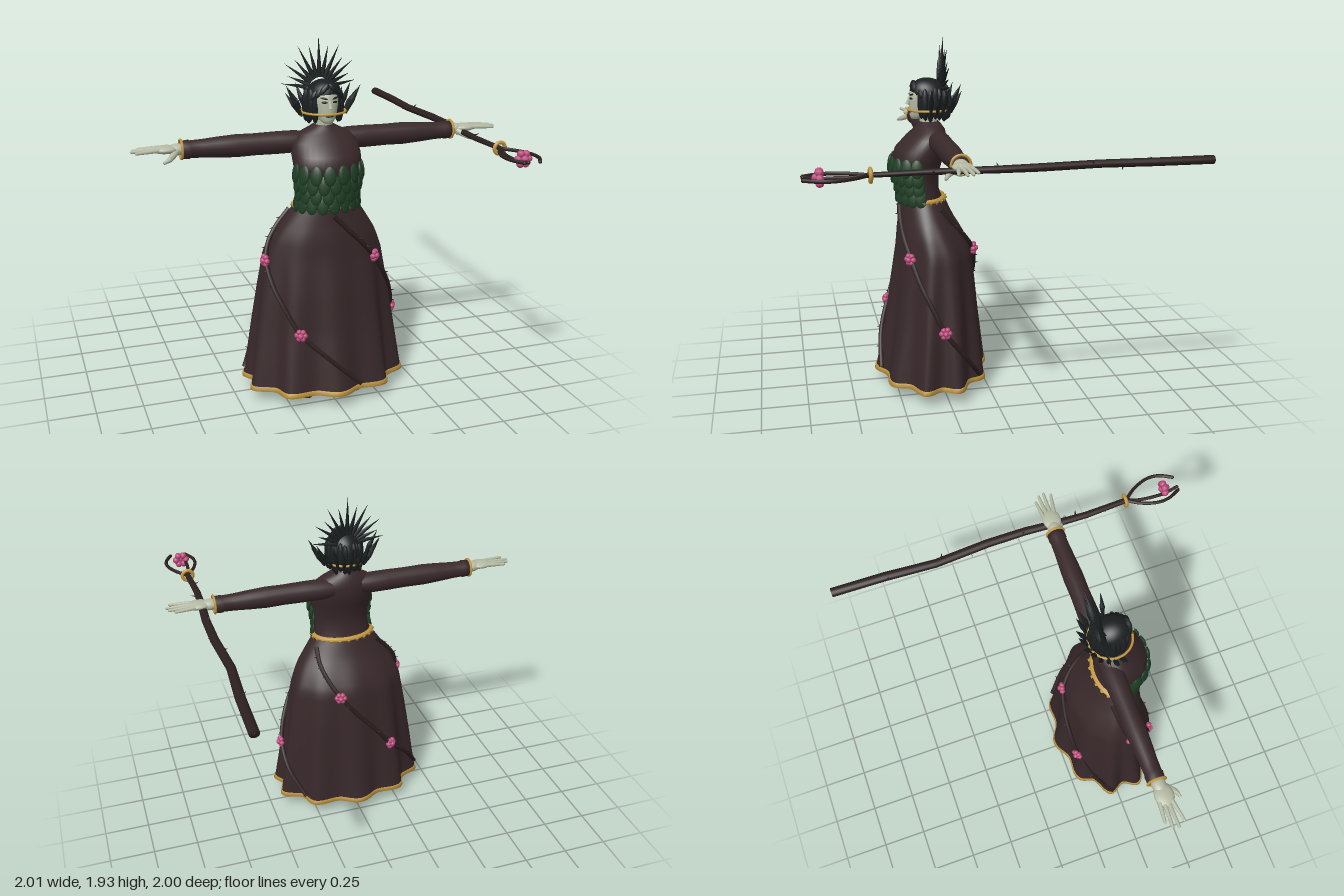
import * as THREE from 'three';

const mat = (name, color, side = THREE.FrontSide) => {
  const m = new THREE.MeshStandardMaterial({ color, side });
  m.name = name;
  return m;
};
const V = (x, y, z) => new THREE.Vector3(x, y, z);
const UP = V(0, 1, 0);

// Skirt rows: y, half width, half depth, centre z
const SKIRT = [
  [0.07, 0.425, 0.295, 0.29], [0.4, 0.385, 0.25, 0.277], [0.6, 0.357, 0.23, 0.273], [0.8, 0.325, 0.203, 0.27],
  [0.9, 0.285, 0.172, 0.293], [0.97, 0.24, 0.145, 0.308], [1.07, 0.172, 0.117, 0.323],
];
function skirtRow(y) {
  let i = 0;
  while (i < SKIRT.length - 2 && y > SKIRT[i + 1][0]) i++;
  const t = (y - SKIRT[i][0]) / (SKIRT[i + 1][0] - SKIRT[i][0]);
  return SKIRT[i].map((v, k) => v + (SKIRT[i + 1][k] - v) * t);
}
const foldDepth = y => 0.075 * Math.max(0, 1 - y);

export function createModel() {
  const root = new THREE.Group();
  const dress = mat('dressBrown', 0x38282a, THREE.DoubleSide);
  const bark = mat('barkBrown', 0x2c1f1f);
  const skin = mat('paleSkin', 0xb4baa4);
  const black = mat('hairBlack', 0x1b1f20);
  const green = mat('leafGreen', 0x1f3f25);
  const gold = mat('gold', 0xc0963f, THREE.DoubleSide);
  const pink = mat('rosePink', 0xbd4a7c);
  const shoe = mat('shoeBrown', 0x2b1c1c);

  const add = (name, geo, m, parent = root) => {
    const mesh = new THREE.Mesh(geo, m);
    mesh.name = name;
    parent.add(mesh);
    return mesh;
  };
  const group = (name) => {
    const g = new THREE.Group();
    g.name = name;
    root.add(g);
    return g;
  };
  // Skin over elliptical rows [y, rx, rz, cz, cx], with optional folds
  const loft = (rows, n = 24, lobes = 0) => {
    const pos = [], idx = [];
    rows.forEach(([y, rx, rz, cz = 0, cx = 0], i) => {
      for (let j = 0; j < n; j++) {
        const a = j / n * Math.PI * 2, f = 1 + (lobes ? foldDepth(y) * Math.cos(lobes * a) : 0);
        pos.push(cx + rx * f * Math.sin(a), y, cz + rz * f * Math.cos(a));
        if (i === rows.length - 1) continue;
        const p = i * n + j, q = i * n + (j + 1) % n;
        idx.push(p, q, q + n, p, q + n, p + n);
      }
    });
    const g = new THREE.BufferGeometry();
    g.setAttribute('position', new THREE.Float32BufferAttribute(pos, 3));
    g.setIndex(idx);
    g.computeVertexNormals();
    return g;
  };
  // Tapered rod or spike between two points
  const rod = (name, a, b, r1, r2, m, parent, n = 8) => {
    const d = b.clone().sub(a);
    const mesh = add(name, new THREE.CylinderGeometry(r2, r1, d.length(), n), m, parent);
    mesh.position.copy(a).addScaledVector(d, 0.5);
    mesh.quaternion.setFromUnitVectors(UP, d.normalize());
    return mesh;
  };
  const blob = (name, p, sx, sy, sz, m, parent, n = 16) => {
    const mesh = add(name, new THREE.SphereGeometry(1, n, Math.ceil(n * 0.7)), m, parent);
    mesh.position.copy(p);
    mesh.scale.set(sx, sy, sz);
    return mesh;
  };
  const rose = (p, dir, r, parent) => {
    const g = new THREE.Group();
    g.name = 'rose';
    g.position.copy(p);
    g.quaternion.setFromUnitVectors(V(0, 0, 1), dir.clone().normalize());
    blob('roseCentre', V(0, 0, r * 0.35), r * 0.45, r * 0.45, r * 0.45, pink, g, 10);
    for (let i = 0; i < 6; i++) {
      const a = i / 6 * Math.PI * 2;
      blob('petal', V(Math.cos(a) * r * 0.62, Math.sin(a) * r * 0.62, 0), r * 0.42, r * 0.42, r * 0.45, pink, g, 10);
    }
    parent.add(g);
  };

  // Skirt with folds, gold hem and belt
  const ys = Array.from({ length: 26 }, (_, i) => 0.07 + i * 0.04);
  add('skirt', loft(ys.map(skirtRow), 120, 10), dress);
  const hemRow = (y, k) => { const r = skirtRow(y); return [y, r[1] + k, r[2] + k, r[3]]; };
  add('hem', loft([hemRow(0.07, -0.006), hemRow(0.07, 0.006), hemRow(0.094, 0.006), hemRow(0.094, -0.002)], 120, 10), gold);
  add('belt', loft([[1.062, 0.178, 0.121, 0.324], [1.068, 0.184, 0.126, 0.324], [1.078, 0.182, 0.124, 0.326], [1.082, 0.165, 0.11, 0.328]], 48), gold);
  for (let i = 0; i < 22; i++) {
    const a = i / 22 * Math.PI * 2, p = V(Math.sin(a) * 0.182, 1.07, 0.324 + Math.cos(a) * 0.125);
    rod('beltPoint', p, p.clone().add(V(0, -0.02, 0)), 0.012, 0, gold, root, 5);
  }

  // Bodice
  const TORSO = [
    [1.04, 0.172, 0.115, 0.325], [1.12, 0.155, 0.106, 0.342], [1.2, 0.162, 0.115, 0.35], [1.28, 0.18, 0.138, 0.35],
    [1.34, 0.185, 0.14, 0.328], [1.4, 0.172, 0.11, 0.3], [1.44, 0.14, 0.084, 0.28], [1.468, 0.08, 0.065, 0.28], [1.485, 0.05, 0.05, 0.28],
  ];
  add('bodice', loft(TORSO, 36), dress);

  // Overlapping leaves over the front of the bodice
  const leaves = group('bodiceLeaves');
  [[1.092, 0.165, 0.112, 0.338], [1.145, 0.16, 0.112, 0.345], [1.2, 0.166, 0.12, 0.352], [1.255, 0.176, 0.137, 0.352]]
    .forEach(([y, rx, rz, cz], row) => {
      const n = row % 2 ? 8 : 9;
      for (let i = 0; i < n; i++) {
        const a = ((i + 0.5) / n - 0.5) * 3.2;
        const leaf = blob('leaf', V(Math.sin(a) * (rx + 0.008), y, cz + Math.cos(a) * (rz + 0.01)), 0.033, 0.052, 0.012, green, leaves, 10);
        leaf.rotation.set(-0.15, a, 0, 'YXZ');
      }
    });

  // Three thorny vines winding down the skirt
  const skirtPoint = (y, a, out) => {
    const [, rx, rz, cz] = skirtRow(y), f = 1 + foldDepth(y) * 0.7;
    return V(Math.sin(a) * (rx * f + out), y, cz + Math.cos(a) * (rz * f + out));
  };
  const path = [[1.03, 0], [0.95, 17], [0.87, 31], [0.78, 44], [0.66, 60], [0.54, 76], [0.41, 91], [0.27, 113], [0.12, 135]];
  for (let k = 0; k < 3; k++) {
    const vine = group('vine');
    const turn = k * Math.PI * 2 / 3;
    const at = (i, out) => skirtPoint(path[i][0], path[i][1] * Math.PI / 180 + turn, out);
    const curve = new THREE.CatmullRomCurve3(path.map((_, i) => at(i, 0.008)));
    add('vineStem', new THREE.TubeGeometry(curve, 60, 0.013, 8), bark, vine);
    for (const i of [3, 6]) {
      const p = at(i, 0.015);
      rose(p, V(p.x, 0, (p.z - 0.28) * 1.6), 0.035, vine);
    }
    for (let i = 1; i < 14; i++) {
      const p = curve.getPoint(i / 14), out = V(p.x, 0.03 * (i % 2 ? 1 : -1), p.z - 0.28).normalize();
      rod('thorn', p, p.clone().addScaledVector(out, 0.03), 0.006, 0, bark, vine, 5);
    }
  }

  // Arms, hands, legs and shoes
  for (const s of [-1, 1]) {
    const arm = group(s > 0 ? 'leftArm' : 'rightArm');
    const sleeve = add('sleeve', loft([
      [0.08, 0.05, 0.055], [0.15, 0.058, 0.062], [0.24, 0.059, 0.058], [0.36, 0.057, 0.054], [0.46, 0.059, 0.056],
      [0.55, 0.054, 0.052], [0.64, 0.047, 0.047], [0.7, 0.045, 0.046], [0.705, 0.049, 0.05], [0.74, 0.046, 0.048], [0.74, 0.02, 0.02],
    ], 20), dress, arm);
    sleeve.rotation.z = -s * Math.PI / 2;
    sleeve.position.set(0, 1.392, 0.25);
    const cuff = add('cuff', new THREE.TorusGeometry(0.048, 0.007, 8, 28), gold, arm);
    cuff.position.set(s * 0.745, 1.395, 0.25);
    cuff.rotation.y = Math.PI / 2;
    blob('wrist', V(s * 0.765, 1.397, 0.253), 0.055, 0.03, 0.038, skin, arm);
    blob('palm', V(s * 0.825, 1.402, 0.257), 0.065, 0.021, 0.051, skin, arm);
    [[0.21, 0.955, 0.222], [0.238, 0.985, 0.243], [0.268, 0.995, 0.263], [0.305, 0.975, 0.282]].forEach(([z, x, z0]) => {
      const a = V(s * 0.85, 1.405, z0), b = V(s * x, 1.402, z);
      rod('finger', a, b, 0.0125, 0.008, skin, arm);
      blob('fingertip', b, 0.008, 0.008, 0.008, skin, arm, 8);
    });
    rod('thumb', V(s * 0.775, 1.39, 0.275), V(s * 0.815, 1.365, 0.325), 0.019, 0.014, skin, arm);
    rod('thumbTip', V(s * 0.815, 1.365, 0.325), V(s * 0.85, 1.352, 0.342), 0.014, 0.007, skin, arm);

    const leg = group(s > 0 ? 'leftLeg' : 'rightLeg');
    rod('leg', V(s * 0.135, 0.04, 0.23), V(s * 0.1, 0.85, 0.28), 0.042, 0.085, shoe, leg, 14);
    const foot = add('shoe', loft([
      [0, 0.045, 0.13, 0.315], [0.008, 0.06, 0.146, 0.315], [0.03, 0.063, 0.145, 0.315],
      [0.055, 0.05, 0.105, 0.28], [0.08, 0.04, 0.06, 0.245], [0.11, 0.035, 0.045, 0.235], [0.11, 0.001, 0.001, 0.235],
    ], 24), shoe, leg);
    foot.position.x = s * 0.138;
    const sole = add('sole', new THREE.CircleGeometry(1, 24), shoe, leg);
    sole.scale.set(0.045, 0.13, 1);
    sole.rotation.x = Math.PI / 2;
    sole.position.set(s * 0.138, 0.0005, 0.315);
  }

  // Head and face
  const head = group('head');
  add('neck', loft([[1.45, 0.06, 0.055, 0.28], [1.49, 0.047, 0.046, 0.285], [1.56, 0.045, 0.046, 0.29]], 20), skin, head);
  add('face', loft([
    [1.496, 0.004, 0.004, 0.355], [1.5, 0.024, 0.026, 0.352], [1.52, 0.045, 0.06, 0.325], [1.55, 0.058, 0.08, 0.307],
    [1.6, 0.068, 0.088, 0.3], [1.65, 0.068, 0.086, 0.297], [1.69, 0.05, 0.06, 0.29], [1.705, 0.005, 0.005, 0.29],
  ], 28), skin, head);
  rod('nose', V(0, 1.62, 0.383), V(0, 1.577, 0.397), 0.006, 0.013, skin, head);
  blob('lips', V(0, 1.538, 0.381), 0.02, 0.007, 0.006, bark, head, 10);
  for (const s of [-1, 1]) {
    blob('eye', V(s * 0.028, 1.612, 0.38), 0.016, 0.006, 0.005, black, head, 10).rotation.y = s * 0.4;
    const brow = blob('brow', V(s * 0.03, 1.632, 0.378), 0.02, 0.005, 0.005, black, head, 10);
    brow.rotation.set(0, s * 0.4, s * 0.25);
  }

  // Hair cap and hanging locks
  const hair = group('hair');
  const cap = add('hairCap', new THREE.SphereGeometry(1, 28, 14, 0, Math.PI * 2, 0, Math.PI * 0.55), black, hair);
  cap.scale.set(0.09, 0.085, 0.108);
  cap.position.set(0, 1.63, 0.277);
  cap.rotation.x = -0.32;
  blob('hairBack', V(0, 1.6, 0.25), 0.084, 0.09, 0.075, black, hair);
  for (let i = 0; i < 17; i++) {
    const a = 0.85 + i / 16 * (Math.PI * 2 - 1.7), r = i % 2 ? 0.088 : 0.08;
    const lock = blob('lock', V(Math.sin(a) * r, 1.59 - 0.008 * (i % 3), 0.272 + Math.cos(a) * (r + 0.008)), 0.021, 0.088, 0.021, black, hair, 8);
    lock.rotation.y = a;
  }
  for (const s of [-1, 1]) {
    for (let i = 0; i < 3; i++) {
      const lock = blob('fringe', V(s * (0.022 + i * 0.02), 1.675 - i * 0.014, 0.362 - i * 0.014), 0.018, 0.038, 0.017, black, hair, 8);
      lock.rotation.z = s * 0.7;
    }
  }

  // Circlet, raised side thorns and the fan of tall spikes
  const crown = group('crown');
  const ring = add('circlet', new THREE.TorusGeometry(0.116, 0.0065, 8, 48), gold, crown);
  ring.rotation.x = Math.PI / 2;
  ring.position.set(0, 1.55, 0.278);
  for (let i = 0; i < 13; i++) {
    const a = Math.PI * (0.47 + i / 12 * 1.06), x = Math.sin(a), z = Math.cos(a), k = i % 2 ? 0.8 : 1;
    const p = V(x * 0.12, 1.53, 0.278 + z * 0.118), m = V(x * 0.155, 1.53 + 0.07 * k, 0.278 + z * 0.14);
    rod('crownThorn', p, m, 0.006, 0.014, black, crown, 6);
    rod('crownThornTip', m, V(x * 0.2, 1.53 + 0.15 * k, 0.278 + z * 0.175), 0.014, 0, black, crown, 6);
  }
  for (let i = -6; i <= 6; i++) {
    const a = i * 0.235, len = (i % 2 ? 0.24 : 0.275) - Math.abs(i) * 0.011;
    const dir = V(Math.sin(a), Math.cos(a), 0);
    const spike = rod('crownSpike', V(0, 1.655, 0.215).addScaledVector(dir, 0.06), V(0, 1.655, 0.2).addScaledVector(dir, len), 0.015, 0, black, crown, 6);
    spike.name = 'crownSpike';
  }

  // Staff with collar, curling prongs, thorns and a rose
  const staff = group('staff');
  const SX = 0.812, SY = 1.382;
  const shaft = add('shaft', loft([
    [-1, 0.001, 0.001, 0, 0.817], [-1, 0.026, 0.022, 0, 0.817], [-0.7, 0.026, 0.021, 0, 0.812], [-0.42, 0.024, 0.02, 0, 0.795],
    [-0.12, 0.024, 0.02, 0, 0.816], [0.1, 0.023, 0.018, 0, 0.817], [0.3, 0.021, 0.016, 0, 0.805], [0.45, 0.019, 0.014, 0, 0.8],
    [0.7, 0.016, 0.012, 0, SX], [0.72, 0.001, 0.001, 0, SX],
  ], 16), bark, staff);
  shaft.rotation.x = Math.PI / 2;
  shaft.position.y = SY;
  const collar = add('collar', new THREE.TorusGeometry(0.03, 0.01, 8, 24), gold, staff);
  collar.position.set(SX, SY, 0.685);
  for (const [dx, dy, end] of [[-0.072, 0, 0.5], [0.09, 0, 0.55], [-0.025, -0.012, 0.6]]) {
    const c = new THREE.CatmullRomCurve3([V(SX, SY, 0.69), V(SX + dx * 0.6, SY + dy, 0.76), V(SX + dx, SY + dy, 0.85),
      V(SX + dx * 0.95, SY + dy, 0.92), V(SX + dx * end, SY, 0.99)]);
    add('prong', new THREE.TubeGeometry(c, 24, 0.0095, 8), bark, staff);
    blob('prongTip', c.getPoint(1), 0.0095, 0.0095, 0.0095, bark, staff, 8);
  }
  rose(V(SX, SY, 0.915), V(0, 0, 1), 0.046, staff);
  for (let i = 0; i < 10; i++) {
    const p = V(SX - 0.004, SY, -0.85 + i * 0.155), a = i * 2.4;
    rod('staffThorn', p, p.clone().add(V(Math.cos(a) * 0.04, Math.sin(a) * 0.035, 0.012)), 0.008, 0, bark, staff, 5);
  }
  return root;
}
